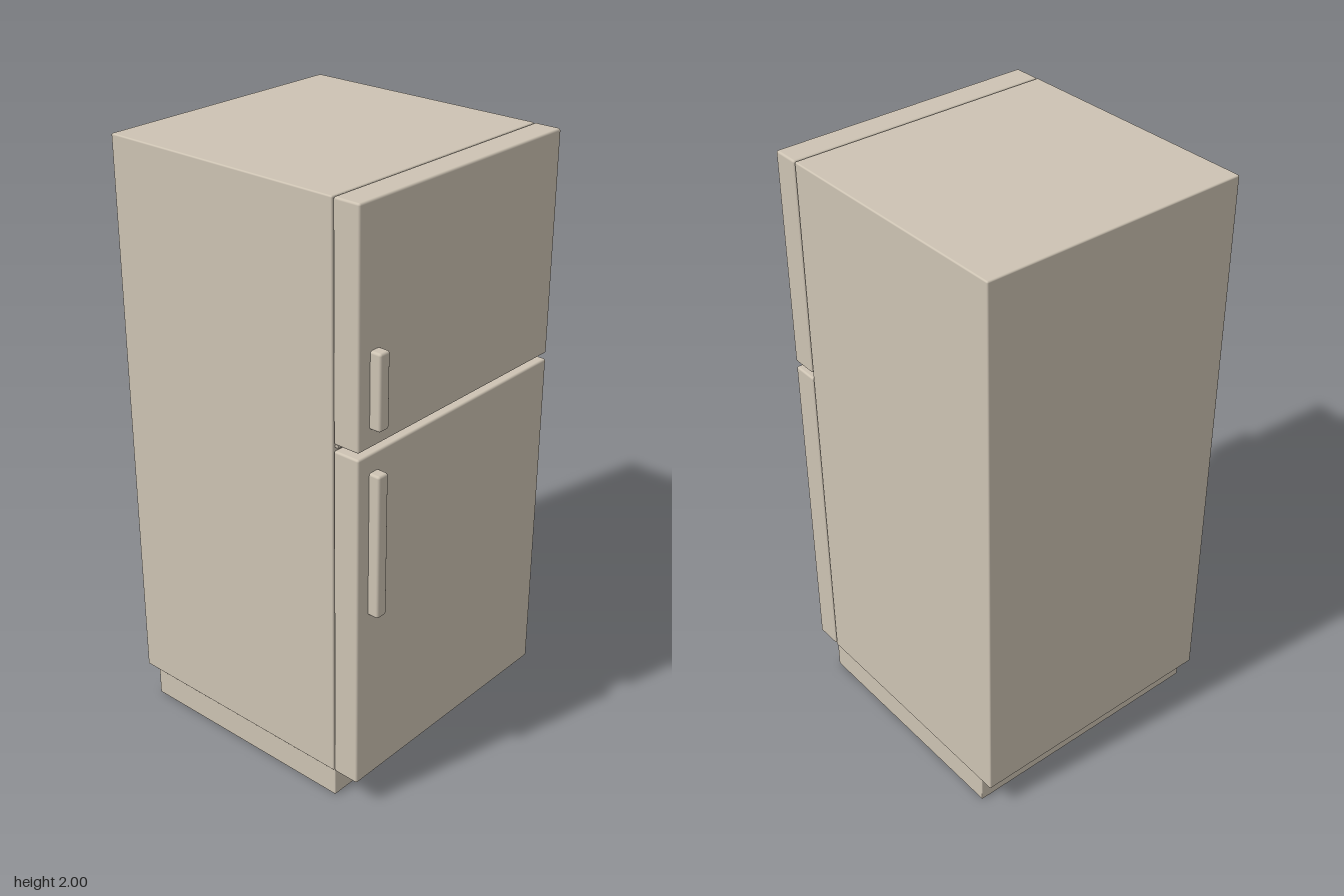
import * as THREE from 'three';
import { RoundedBoxGeometry } from 'three/addons/geometries/RoundedBoxGeometry.js';

const enamel = new THREE.MeshStandardMaterial({ color: 0xcdc3b3 });

// Softly bevelled box given by its min and max on each axis
function block(name, [x0, x1], [y0, y1], [z0, z1], radius) {
  const geometry = new RoundedBoxGeometry(x1 - x0, y1 - y0, z1 - z0, 2, radius);
  const mesh = new THREE.Mesh(geometry, enamel);
  mesh.name = name;
  mesh.position.set((x0 + x1) / 2, (y0 + y1) / 2, (z0 + z1) / 2);
  return mesh;
}

export function createModel() {
  const fridge = new THREE.Group();
  fridge.name = 'refrigerator';
  const width = [-0.458, 0.458];

  // Cabinet on a recessed plinth
  fridge.add(block('cabinet', width, [0.1, 2], [-0.5, 0.367], 0.005));
  fridge.add(block('plinth', [-0.452, 0.452], [0, 0.105], [-0.45, 0.369], 0.003));

  // Doors, each with a seal behind it and a bar handle on the front
  const doors = [
    { name: 'freezer', y: [1.27, 2], handle: [1.33, 1.57] },
    { name: 'fridge', y: [0.1, 1.25], handle: [0.71, 1.19] },
  ];
  for (const { name, y, handle } of doors) {
    const door = new THREE.Group();
    door.name = name + 'Door';
    door.add(block(name + 'Panel', width, y, [0.37, 0.463], 0.007));
    door.add(block(name + 'Seal', [-0.447, 0.447], [y[0] + 0.01, y[1] - 0.01], [0.36, 0.378], 0.002));
    door.add(block(name + 'Handle', [-0.41, -0.368], handle, [0.455, 0.5], 0.008));
    fridge.add(door);
  }

  // Divider strip showing in the gap between the doors
  fridge.add(block('divider', [-0.447, 0.447], [1.255, 1.265], [0.36, 0.38], 0.002));
  return fridge;
}
